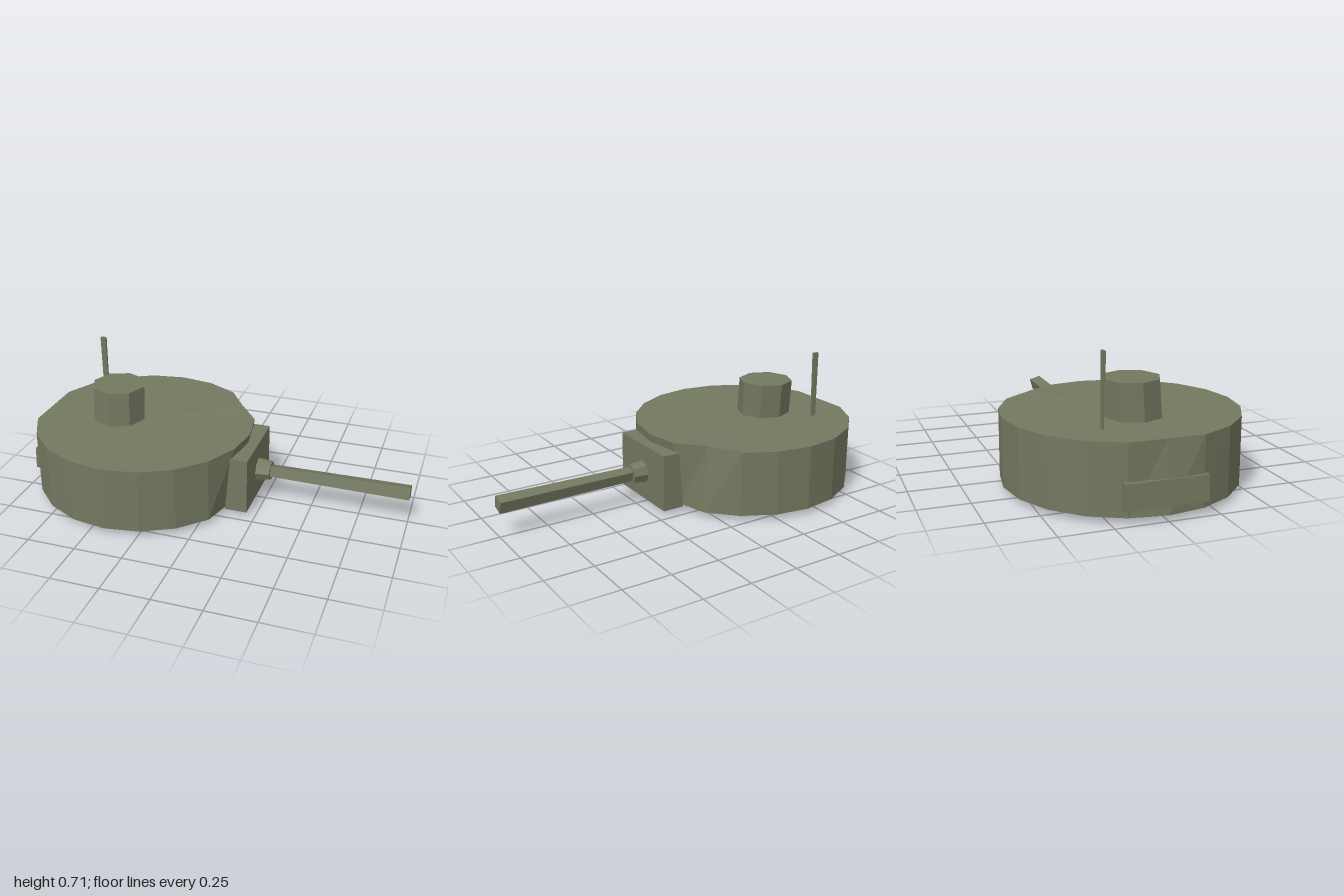
import * as THREE from 'three';

const paint = new THREE.MeshStandardMaterial({ color: 0x737860, flatShading: true });

// Move every vertex of a geometry by a rule
function reshape(geometry, rule) {
  const p = geometry.attributes.position;
  const v = new THREE.Vector3();
  for (let i = 0; i < p.count; i++) {
    rule(v.fromBufferAttribute(p, i));
    p.setXYZ(i, v.x, v.y, v.z);
  }
  geometry.computeVertexNormals();
  return geometry;
}

export function createModel() {
  const model = new THREE.Group();
  model.name = 'turret';

  function add(name, geometry, x, y, z) {
    const mesh = new THREE.Mesh(geometry, paint);
    mesh.name = name;
    mesh.position.set(x, y, z);
    model.add(mesh);
    return mesh;
  }

  // Drum body: rear leans in at the top, front is undercut at the bottom
  const drum = new THREE.CylinderGeometry(0.58, 0.58, 0.335, 20);
  add('drumBody', reshape(drum, (v) => {
    const top = v.y > 0;
    if (top && v.x < -0.55) v.x = -0.55;
    if (!top && v.x > 0.54) v.x = v.x > 0.57 ? 0.525 : 0.515;
    // Flattened chamfer on the back corner of the front
    if (top && v.x > 0.4 && v.x < 0.5 && v.z < 0) {
      v.x -= 0.03;
      v.z += 0.025;
      v.y += 0.007;
    }
  }), -0.42, 0.1975, 0);

  // Turret ring below the drum, with a slightly uneven underside
  const ring = new THREE.CylinderGeometry(0.405, 0.405, 0.03, 16);
  add('turretRing', reshape(ring, (v) => {
    const lowPoint = Math.abs(Math.abs(v.z) - 0.155) < 0.01;
    if (v.y < 0 && !lowPoint) v.y += 0.013;
  }), -0.365, 0.017, 0);

  // Commander's cupola, sheared a little backwards
  const cupola = new THREE.CylinderGeometry(0.143, 0.143, 0.19, 8);
  add('cupola', reshape(cupola, (v) => { v.z -= v.y * 0.075; }), -0.57, 0.453, 0);

  // Antenna: a thin strip, narrowing towards its foot
  const antenna = new THREE.BoxGeometry(0.03, 0.355, 0.014);
  add('antenna', reshape(antenna, (v) => {
    if (v.y < 0 && v.z > 0) v.z = -0.002;
  }), -0.743, 0.5375, -0.207);

  // Gun mantlet, deeper at the bottom
  const mantlet = new THREE.BoxGeometry(0.1, 0.295, 0.42);
  add('mantlet', reshape(mantlet, (v) => {
    if (v.x < 0) v.x += v.y > 0 ? 0.01 : -0.015;
  }), 0.158, 0.1725, 0);

  // Collar and gun barrel along +x
  const collar = add('gunCollar', new THREE.CylinderGeometry(0.05, 0.062, 0.08, 8), 0.24, 0.172, 0);
  collar.rotation.z = -Math.PI / 2;
  const barrel = add('gunBarrel',
    new THREE.CylinderGeometry(0.045, 0.038, 0.74, 4, 1, false, Math.PI / 6), 0.63, 0.172, -0.001);
  barrel.rotation.z = -Math.PI / 2;

  // Stowage box on the rear
  const stowage = new THREE.BoxGeometry(0.045, 0.12, 0.395);
  add('rearStowageBox', reshape(stowage, (v) => {
    if (v.y > 0 && v.x < 0) v.x += 0.006;
  }), -0.9775, 0.13, -0.005);

  return model;
}
